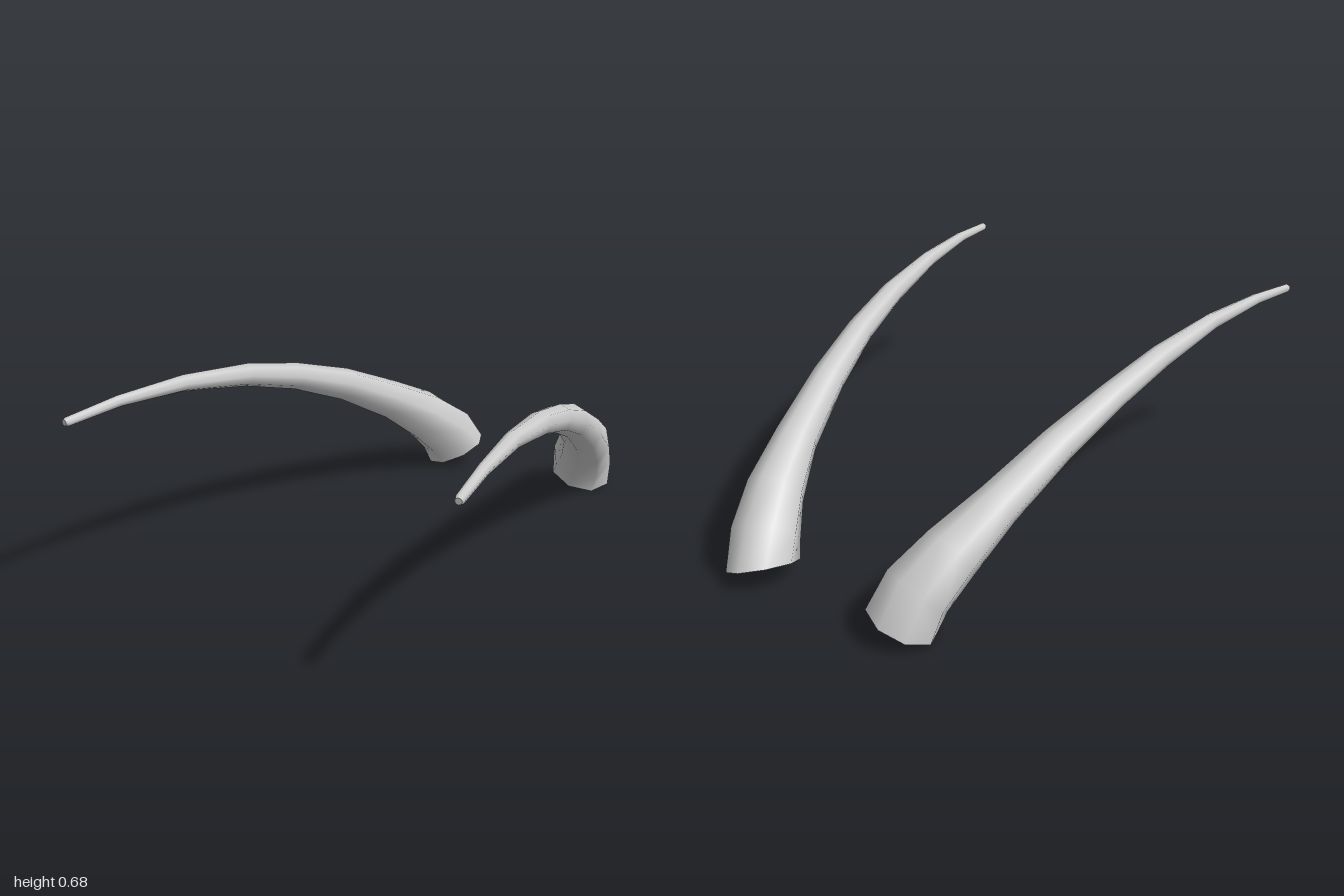
import * as THREE from 'three';

const SIDES = 8;

// Centre line of one horn, base to tip: x, y, z, radius
const SECTIONS = [
  [0.283, 0.056, -0.884, 0.122],
  [0.308, 0.145, -0.835, 0.116],
  [0.357, 0.24, -0.725, 0.1],
  [0.412, 0.345, -0.55, 0.076],
  [0.472, 0.465, -0.3, 0.061],
  [0.525, 0.553, -0.05, 0.049],
  [0.567, 0.615, 0.2, 0.041],
  [0.612, 0.656, 0.5, 0.029],
  [0.655, 0.662, 0.78, 0.02],
  [0.685, 0.647, 0.985, 0.016],
  [0.687, 0.646, 0.997, 0.011],
];

// Lofts the sections into a horn; side = 1 or -1 mirrors it in x
function hornGeometry(side) {
  const centres = SECTIONS.map(([x, y, z]) => new THREE.Vector3(x, y, z));
  const last = centres.length - 1;
  const rings = centres.map((c, i) => {
    const t = i === 0
      ? new THREE.Vector3(0.38, 1, 0.25)
      : centres[Math.min(i + 1, last)].clone().sub(centres[i - 1]);
    t.normalize();
    const u = new THREE.Vector3(-1, 0, 0);
    u.addScaledVector(t, -u.dot(t)).normalize();
    const v = t.clone().cross(u);
    return Array.from({ length: SIDES }, (_, j) => {
      const a = (j / SIDES) * Math.PI * 2;
      return c.clone()
        .addScaledVector(u, Math.cos(a) * SECTIONS[i][3])
        .addScaledVector(v, Math.sin(a) * SECTIONS[i][3]);
    });
  });

  const positions = [];
  const index = [];
  const push = (p) => positions.push(p.x * side, p.y, p.z) / 3 - 1;
  const tri = (a, b, c) => (side > 0 ? index.push(a, b, c) : index.push(a, c, b));

  // Smooth wall
  rings.forEach((ring) => ring.forEach(push));
  for (let i = 0; i < last; i++) {
    for (let j = 0; j < SIDES; j++) {
      const k = (j + 1) % SIDES;
      const a = i * SIDES;
      const b = a + SIDES;
      tri(a + j, a + k, b + k);
      tri(a + j, b + k, b + j);
    }
  }

  // Flat caps with their own corners
  for (const [i, flip] of [[0, true], [last, false]]) {
    const centre = push(centres[i]);
    const start = centre + 1;
    rings[i].forEach(push);
    for (let j = 0; j < SIDES; j++) {
      const k = (j + 1) % SIDES;
      if (flip) tri(centre, start + k, start + j);
      else tri(centre, start + j, start + k);
    }
  }

  const geometry = new THREE.BufferGeometry();
  geometry.setAttribute('position', new THREE.Float32BufferAttribute(positions, 3));
  geometry.setIndex(index);
  geometry.computeVertexNormals();
  return geometry;
}

export function createModel() {
  const group = new THREE.Group();
  group.name = 'hornPair';
  const hornGrey = new THREE.MeshStandardMaterial({ color: 0xcccccc });
  hornGrey.name = 'hornGrey';

  for (const [name, side] of [['leftHorn', 1], ['rightHorn', -1]]) {
    const horn = new THREE.Mesh(hornGeometry(side), hornGrey);
    horn.name = name;
    group.add(horn);
  }
  return group;
}
